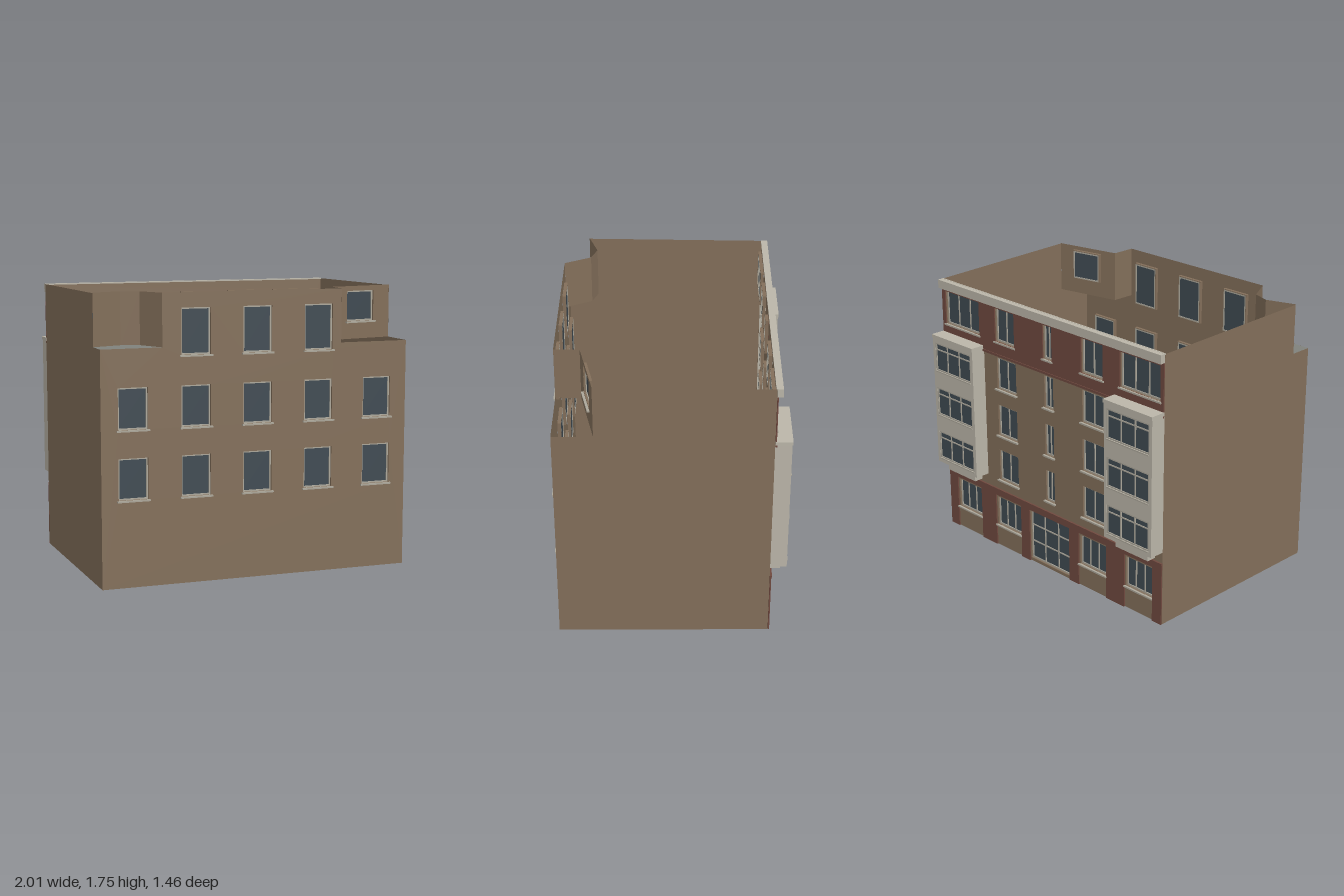
import * as THREE from 'three';

const mat = (name, color) => {
  const m = new THREE.MeshStandardMaterial({ color, side: THREE.DoubleSide });
  m.name = name;
  return m;
};
const M = {
  wall: mat('brown render', 0x836f5a),
  red: mat('red brick', 0x70493f),
  stone: mat('pale stone', 0xbbb6a9),
  frame: mat('window frame', 0xaca79a),
  glass: mat('dark glass', 0x3f4a52),
  roof: mat('terrace grey', 0x80827c),
};

const add = (parent, name, geometry, material, x = 0, y = 0, z = 0) => {
  const mesh = new THREE.Mesh(geometry, material);
  mesh.name = name;
  mesh.position.set(x, y, z);
  parent.add(mesh);
  return mesh;
};

// box given by its minimum and maximum corners
const block = (parent, name, material, x0, y0, z0, x1, y1, z1) =>
  add(parent, name, new THREE.BoxGeometry(x1 - x0, y1 - y0, z1 - z0), material,
    (x0 + x1) / 2, (y0 + y1) / 2, (z0 + z1) / 2);

const rect = (x0, y0, x1, y1) => [[x0, y0], [x1, y0], [x1, y1], [x0, y1]];
const outline = (points, holes = []) => {
  const vec = (p) => new THREE.Vector2(p[0], p[1]);
  const s = new THREE.Shape(points.map(vec));
  for (const [x0, y0, x1, y1] of holes) s.holes.push(new THREE.Path(rect(x0, y0, x1, y1).map(vec)));
  return s;
};
const sheet = (points, holes) => new THREE.ShapeGeometry(outline(points, holes));
const plate = (points, holes, depth) =>
  new THREE.ExtrudeGeometry(outline(points, holes), { depth, bevelEnabled: false });

// group whose x axis runs along the wall foot and whose z axis points outdoors
const side = (parent, name, [ax, az], [bx, bz]) => {
  const g = new THREE.Group();
  g.name = name;
  g.position.set(ax, 0, az);
  g.rotation.y = Math.atan2(az - bz, bx - ax);
  g.userData.length = Math.hypot(bx - ax, bz - az);
  parent.add(g);
  return g;
};

// recessed window: reveal, glass, frame, mullions, optional transoms and sill
function addWindow(parent, [x0, y0, x1, y1], o = {}) {
  const { cols = 1, bars = [], sill = true, deep = 0.022, z = 0, reveal = M.wall, name = 'window' } = o;
  const g = new THREE.Group();
  g.name = name;
  g.position.z = z;
  parent.add(g);
  const t = 0.005, f = 0.009, b = -deep;
  add(g, 'reveal', plate(rect(x0 - t, y0 - t, x1 + t, y1 + t), [[x0, y0, x1, y1]], deep - 0.001), reveal, 0, 0, b);
  add(g, 'glass', sheet(rect(x0, y0, x1, y1)), M.glass, 0, 0, b + 0.004);
  add(g, 'frame', plate(rect(x0, y0, x1, y1), [[x0 + f, y0 + f, x1 - f, y1 - f]], 0.01), M.frame, 0, 0, b);
  for (let i = 1; i < cols; i++) {
    const x = x0 + (x1 - x0) * i / cols;
    block(g, 'mullion', M.frame, x - 0.004, y0, b, x + 0.004, y1, b + 0.009);
  }
  for (const k of bars) {
    const y = y0 + (y1 - y0) * k;
    block(g, 'transom', M.frame, x0, y - 0.004, b, x1, y + 0.004, b + 0.009);
  }
  if (sill) block(g, 'sill', M.frame, x0 - 0.01, y0 - 0.01, 0.001, x1 + 0.01, y0, 0.016);
}

// projecting bay with three glazed storeys
function addBay(parent, u) {
  const g = new THREE.Group();
  g.name = 'bay';
  g.position.x = u;
  parent.add(g);
  const w = 0.39, d = 0.1, y0 = 0.49, y1 = 1.36;
  const wins = [0.52, 0.83, 1.14].map((y) => [0.022, y, w - 0.022, y + 0.19]);
  add(g, 'bayFront', sheet(rect(0, y0, w, y1), wins), M.stone, 0, 0, d);
  for (const x of [0, w]) {
    add(g, 'baySide', new THREE.PlaneGeometry(d, y1 - y0), M.stone, x, (y0 + y1) / 2, d / 2)
      .rotation.y = x ? Math.PI / 2 : -Math.PI / 2;
  }
  block(g, 'bayCap', M.stone, -0.003, y1, 0.002, w + 0.003, y1 + 0.022, d + 0.005);
  block(g, 'bayFloor', M.stone, 0, y0 - 0.004, 0.002, w, y0, d);
  block(g, 'bayFoot', M.stone, 0.06, 0.43, 0.002, w - 0.06, y0 - 0.004, 0.065);
  for (const r of wins) addWindow(g, r, { cols: 3, bars: [0.76], deep: 0.012, z: d, reveal: M.stone, name: 'bayWindow', sill: false });
  for (const r of wins) block(g, 'baySill', M.frame, r[0], r[1] - 0.008, d, r[2], r[1], d + 0.006);
}

export function createModel() {
  const model = new THREE.Group();
  model.name = 'apartmentBuilding';
  const FL = [-0.97, 0.715], FR = [1, 0.665], BR = [0.96, -0.628], BL = [-1, -0.585];
  const top = 1.75, backTop = 1.733, lowL = 1.43, lowR = 1.42;

  // front wall with both top corners cut away
  const front = side(model, 'frontWall', FL, FR);
  const fw = front.userData.length;
  const frontWins = [];
  [-0.773, -0.38, 0.012, 0.41, 0.803].forEach((x, i) => {
    const u = x + 0.97;
    for (const y of [0.53, 0.95]) frontWins.push([u - 0.092, y, u + 0.092, y + 0.25]);
    if (i > 0 && i < 4) frontWins.push([u - 0.092, 1.38, u + 0.092, 1.66]);
  });
  add(front, 'frontPanel', sheet([[0, 0], [fw, 0], [fw, lowR], [1.53, lowR], [1.53, top], [0.38, top], [0.38, lowL], [0, lowL]], frontWins), M.wall);
  frontWins.forEach((r) => addWindow(front, r));

  // side walls
  const left = side(model, 'leftWall', FR, BR);
  const lw = left.userData.length;
  add(left, 'leftPanel', sheet([[0, 0], [lw, 0], [lw, backTop], [0.245, top - 0.003], [0.245, lowR], [0, lowR]]), M.wall);
  const right = side(model, 'rightWall', BL, FL);
  const rw = right.userData.length;
  add(right, 'rightPanel', sheet([[0, 0], [rw, 0], [rw, lowL], [1.155, lowL], [1.155, top - 0.003], [0, backTop]]), M.wall);

  // set-back corner with a window
  const cheek = side(model, 'setbackCheek', [0.56, 0.676], [0.56, 0.52]);
  add(cheek, 'cheekPanel', sheet(rect(0, lowR, cheek.userData.length, top)), M.wall);
  const setback = side(model, 'setbackWall', [0.56, 0.52], [0.992, 0.42]);
  const setbackWin = [0.118, 1.53, 0.323, 1.72];
  add(setback, 'setbackPanel', sheet(rect(0, lowR, setback.userData.length, top), [setbackWin]), M.wall);
  addWindow(setback, setbackWin);

  // faceted corner terrace
  const recess = [[-0.973, 0.57], [-0.79, 0.505], [-0.68, 0.54], [-0.59, 0.705]];
  for (let i = 0; i < 3; i++) {
    const s = side(model, 'terraceWall', recess[i], recess[i + 1]);
    add(s, 'terracePanel', sheet(rect(0, lowL, s.userData.length, top)), M.wall);
  }
  add(model, 'terraceFloor', sheet([...recess, FL].map(([x, z]) => [x, -z])), M.roof, 0, lowL, 0).rotation.x = -Math.PI / 2;

  // back wall, open behind the bays
  const back = side(model, 'backWall', BR, BL);
  const bw = back.userData.length;
  const spans = [[0.51, 0.69], [0.95, 1.03], [1.285, 1.47]];
  const middle = [0.485, 0.80, 1.12].flatMap((y) => spans.map(([a, b]) => [a, y, b, y + 0.21]));
  const upper = [[0.03, 0.36], ...spans, [1.61, 1.935]].map(([a, b]) => [a, 1.44, b, 1.66]);
  const shops = [[0.08, 0.325], [0.47, 0.715], [1.25, 1.495], [1.65, 1.886]];
  const ground = shops.map(([a, b]) => [a + 0.008, 0.15, b - 0.008, 0.35]);
  const door = [0.795, 0.02, 1.165, 0.36];
  const bays = [0, bw - 0.39];
  const bayHoles = bays.map((u) => [u + 0.015, 0.5, u + 0.375, 1.35]);
  add(back, 'backPanel', sheet(rect(0, 0, bw, backTop), [...middle, ...upper, ...ground, door, ...bayHoles]), M.wall);
  const panes = (r) => (r[2] - r[0] > 0.3 ? 3 : 2);
  [...middle, ...upper].forEach((r) => addWindow(back, r, { cols: panes(r) }));
  ground.forEach((r) => addWindow(back, r, { cols: 3, name: 'groundWindow' }));
  addWindow(back, door, { cols: 3, bars: [0.36, 0.7], sill: false, name: 'entrance' });

  // red brick attic band and ground floor piers
  add(back, 'atticBrick', plate(rect(0, 1.36, bw, 1.68), upper, 0.007), M.red, 0, 0, 0.002);
  block(back, 'atticLedge', M.red, 0, 1.345, 0.002, bw, 1.36, 0.014);
  const piers = [[0, 0]];
  for (const [a, b] of [...shops.slice(0, 2), [door[0], door[2]], ...shops.slice(2)]) {
    piers.push([a, 0], [a, 0.365], [b, 0.365], [b, 0]);
  }
  piers.push([bw, 0], [bw, 0.41], [0, 0.41]);
  add(back, 'groundBrick', plate(piers, [], 0.008), M.red, 0, 0, 0.002);
  block(back, 'groundLedge', M.red, 0, 0.402, 0.002, bw, 0.414, 0.014);

  // bays and cornice
  bays.forEach((u) => addBay(back, u));
  block(back, 'cornice', M.stone, 0, 1.68, 0.002, bw, 1.735, 0.036);
  block(back, 'coping', M.stone, 0, 1.728, -0.006, bw, 1.736, 0.004);
  return model;
}
